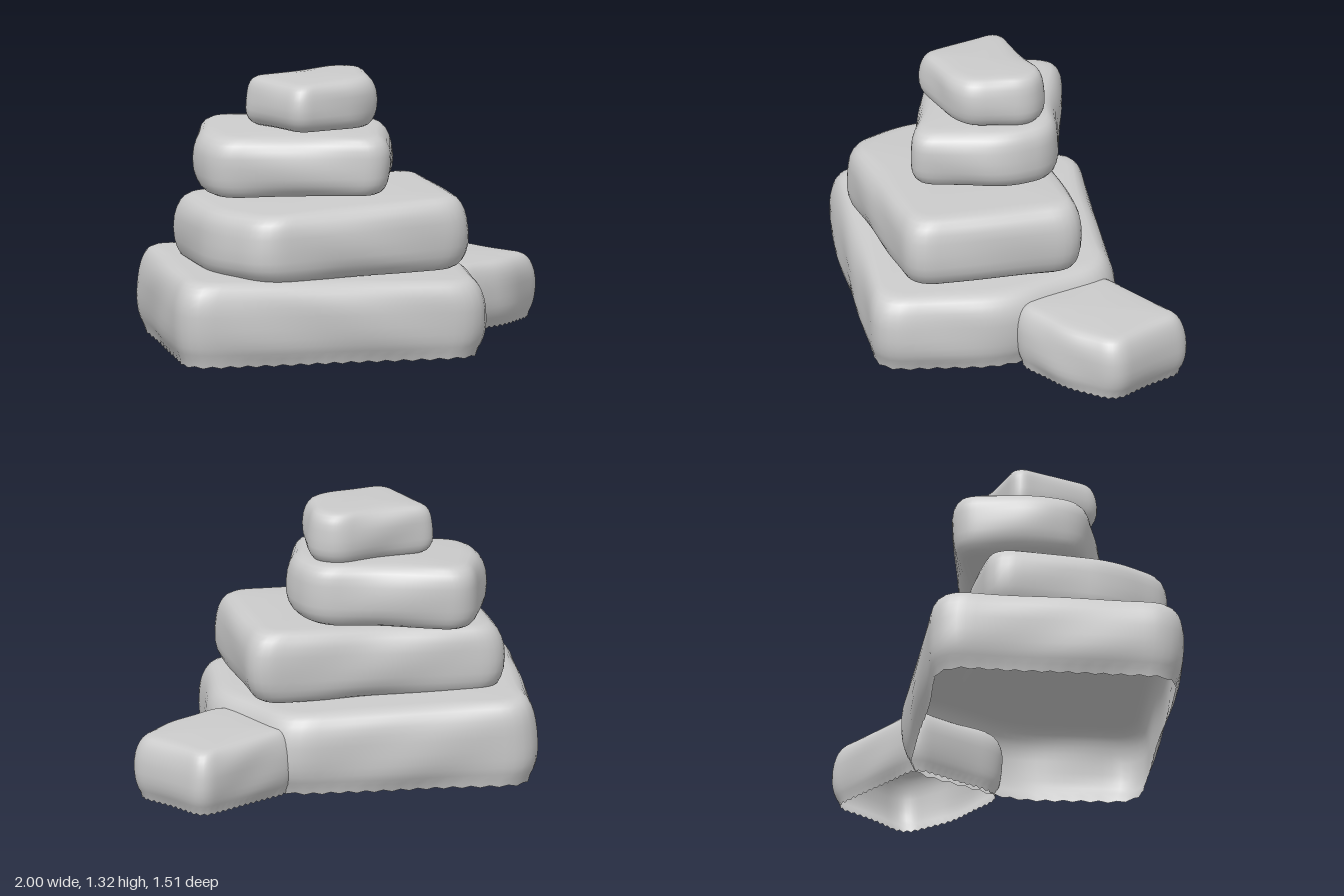
import * as THREE from 'three';

const SEGMENTS = 112;

// Closed loop of points around a polygon whose corners are rounded by a cut distance
function roundedLoop(corners, cut) {
  const points = corners.map(([x, z]) => new THREE.Vector2(x, z));
  const towards = (p, q) => p.clone().lerp(q, Math.min(0.45, cut / p.distanceTo(q)));
  const path = new THREE.Path();
  points.forEach((p, i) => {
    const before = towards(p, points.at(i - 1));
    const after = towards(p, points[(i + 1) % points.length]);
    if (i === 0) path.moveTo(before.x, before.y);
    else path.lineTo(before.x, before.y);
    path.quadraticCurveTo(p.x, p.y, after.x, after.y);
  });
  path.closePath();
  return path.getSpacedPoints(SEGMENTS).slice(0, -1);
}

// Rings from the cap centre down a rounded edge; closed stones get a rounded underside
function stoneRings(edge, open) {
  const rings = [{ inset: 0, t: 1.02, scale: 0 }, { inset: 0, t: 1.015, scale: 0.45 }];
  const steps = 12;
  for (let k = 0; k <= steps; k++) {
    const angle = (Math.PI / 2) * (1 - (k / steps) * (open ? 1.55 : 2));
    const inset = edge * (1 - Math.cos(angle) ** 0.7);
    const t = 0.5 + 0.5 * Math.sign(angle) * Math.abs(Math.sin(angle)) ** 0.8;
    rings.push({ inset, t, scale: 1 });
  }
  if (open) rings.push({ inset: edge * 0.35, t: 0, scale: 1 });
  else rings.push({ inset: 0, t: 0, scale: 0.45 }, { inset: 0, t: 0, scale: 0 });
  return rings;
}

// top and bottom are tilted planes: [height at the origin, slope in x, slope in z]
function stone({ name, corners, cut, edge, top, bottom, open = false }) {
  const loop = roundedLoop(corners, cut);
  const centre = new THREE.Vector2();
  loop.forEach((p) => centre.addScaledVector(p, 1 / SEGMENTS));
  const plane = ([y, sx, sz], x, z) => y + sx * x + sz * z;
  const rings = stoneRings(edge, open);
  const positions = [];
  const indices = [];

  rings.forEach(({ inset, t, scale }, j) => {
    const last = j === rings.length - 1;
    loop.forEach((p, i) => {
      // gentle worn hollows on the sides
      const wear = 0.007 * Math.sin(p.x * 9 + t * 4) * Math.sin(p.y * 8 - t * 3);
      const d = p.clone().sub(centre);
      d.multiplyScalar(scale * (1 - (inset + wear) / d.length()));
      const x = centre.x + d.x;
      const z = centre.y + d.y;
      const y = THREE.MathUtils.lerp(plane(bottom, x, z), plane(top, x, z), t);
      // ragged rim where an open stone meets the ground
      positions.push(x, open && last ? y + (i % 2) * 0.01 : y, z);
      if (last) return;
      const a = j * SEGMENTS + i;
      const b = j * SEGMENTS + (i + 1) % SEGMENTS;
      if (scale > 0) indices.push(a, b, b + SEGMENTS);
      if (rings[j + 1].scale > 0) indices.push(a, b + SEGMENTS, a + SEGMENTS);
    });
  });

  const geometry = new THREE.BufferGeometry();
  geometry.setAttribute('position', new THREE.Float32BufferAttribute(positions, 3));
  geometry.setIndex(indices);
  geometry.computeVertexNormals();
  const mesh = new THREE.Mesh(geometry, new THREE.MeshStandardMaterial({
    color: 0xcccccc, side: open ? THREE.DoubleSide : THREE.FrontSide,
  }));
  mesh.name = name;
  return mesh;
}

export function createModel() {
  const group = new THREE.Group();
  group.name = 'stackedStones';

  // Corners are [x, z], clockwise seen from above
  group.add(stone({
    name: 'baseStone', open: true, cut: 0.16, edge: 0.13,
    top: [0.4, -0.028, -0.01], bottom: [0, 0, 0],
    corners: [[-0.97, -0.5], [0.3, -0.5], [0.57, 0.06], [0.53, 0.73], [-0.5, 0.75], [-1.01, 0.73]],
  }));
  group.add(stone({
    name: 'sideStone', open: true, cut: 0.09, edge: 0.1,
    top: [0.34, -0.02, 0.01], bottom: [0, 0, 0],
    corners: [[0.2, -0.43], [0.73, -0.79], [1.02, -0.38], [0.82, -0.13], [0.53, 0.05], [0.42, 0]],
  }));
  group.add(stone({
    name: 'secondStone', cut: 0.13, edge: 0.13,
    top: [0.755, 0.038, -0.012], bottom: [0.4, 0.015, 0],
    corners: [[-0.86, -0.21], [0.42, -0.32], [0.49, 0.55], [-0.2, 0.67], [-0.6, 0.72], [-0.81, 0.42]],
  }));
  group.add(stone({
    name: 'thirdStone', cut: 0.12, edge: 0.12,
    top: [1.07, 0.018, -0.04], bottom: [0.765, 0.025, 0],
    corners: [[-0.67, -0.37], [0.11, -0.23], [0.21, 0.03], [0.08, 0.5], [-0.75, 0.28], [-0.79, 0.02]],
  }));
  group.add(stone({
    name: 'topStone', cut: 0.08, edge: 0.09,
    top: [1.318, 0.03, -0.01], bottom: [1.06, -0.01, 0.03],
    corners: [[-0.54, -0.04], [-0.02, -0.2], [0.1, -0.11], [0.1, 0.2], [0, 0.29], [-0.35, 0.4], [-0.46, 0.18]],
  }));
  return group;
}
